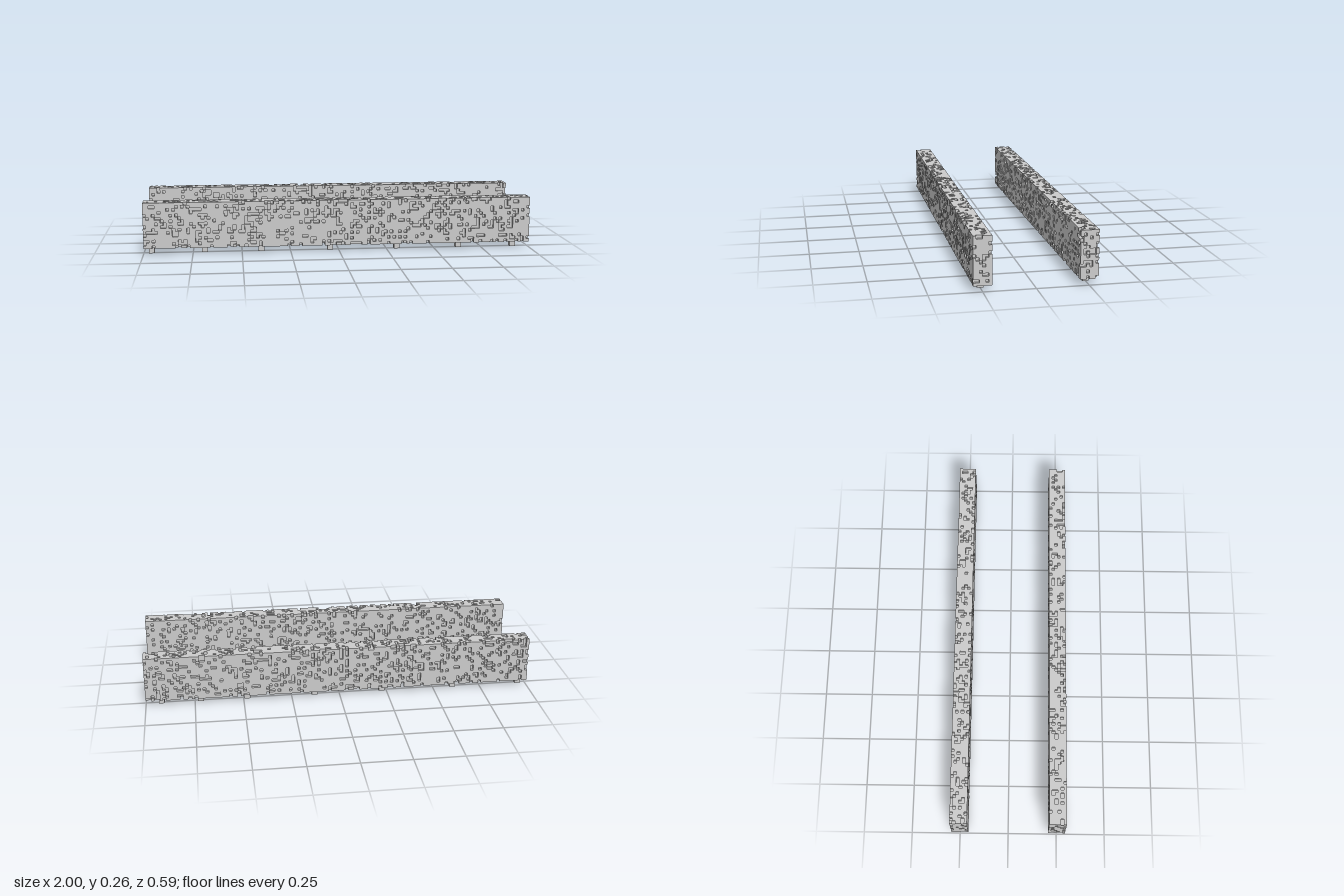
import * as THREE from 'three';

const CELL = 2 / 136;           // edge of one small cube
const NX = 136, NY = 16, NZ = 6; // cubes along each wall axis
const FOOT = 2 * CELL;
const PIT_CHANCE = 0.22;

function seeded(seed) {
  let s = seed;
  return () => {
    s = (Math.imul(s, 1664525) + 1013904223) >>> 0;
    return s / 4294967296;
  };
}

// Solid block of cubes whose outer layer is missing random cubes
function makeCells(seed) {
  const random = seeded(seed);
  const cells = new Uint8Array(NX * NY * NZ);
  const index = (x, y, z) => (z * NY + y) * NX + x;
  for (let z = 0; z < NZ; z++)
    for (let y = 0; y < NY; y++)
      for (let x = 0; x < NX; x++) {
        const shell = x === 0 || y === 0 || z === 0 ||
          x === NX - 1 || y === NY - 1 || z === NZ - 1;
        cells[index(x, y, z)] = shell && random() < PIT_CHANCE ? 0 : 1;
      }
  return (x, y, z) => x >= 0 && y >= 0 && z >= 0 &&
    x < NX && y < NY && z < NZ && cells[index(x, y, z)] === 1;
}

// Surface of the cubes: one quad wherever a cube meets empty space
function pittedGeometry(seed) {
  const filled = makeCells(seed);
  const positions = [];
  const addFace = (cell, axis, side) => {
    const u = (axis + 1) % 3, v = (axis + 2) % 3;
    const corner = (du, dv) => {
      const p = [...cell];
      p[axis] += side > 0 ? 1 : 0;
      p[u] += du;
      p[v] += dv;
      return [(p[0] - NX / 2) * CELL, p[1] * CELL, (p[2] - NZ / 2) * CELL];
    };
    const a = corner(0, 0), b = corner(1, 0), c = corner(1, 1), d = corner(0, 1);
    const order = side > 0 ? [a, b, c, a, c, d] : [a, c, b, a, d, c];
    for (const p of order) positions.push(...p);
  };
  for (let z = 0; z < NZ; z++)
    for (let y = 0; y < NY; y++)
      for (let x = 0; x < NX; x++) {
        if (!filled(x, y, z)) continue;
        for (let axis = 0; axis < 3; axis++)
          for (const side of [-1, 1]) {
            const next = [x, y, z];
            next[axis] += side;
            if (!filled(...next)) addFace([x, y, z], axis, side);
          }
      }
  const geometry = new THREE.BufferGeometry();
  geometry.setAttribute('position', new THREE.Float32BufferAttribute(positions, 3));
  geometry.computeVertexNormals();
  return geometry;
}

export function createModel() {
  const model = new THREE.Group();
  model.name = 'pairOfHedges';
  const material = new THREE.MeshStandardMaterial({ color: 0xcccccc, flatShading: true });
  const footGeometry = new THREE.BoxGeometry(FOOT, FOOT, FOOT);

  const hedges = [
    { name: 'frontHedge', z: 17 * CELL, seed: 11,
      feet: [-0.96, -0.69, -0.4, -0.045, 0.305, 0.63, 0.92] },
    { name: 'backHedge', z: -17 * CELL, seed: 47,
      feet: [-0.96, -0.605, -0.225, 0.13, 0.48, 0.72, 0.92] },
  ];

  for (const { name, z, seed, feet } of hedges) {
    const hedge = new THREE.Group();
    hedge.name = name;
    hedge.position.z = z;

    // Long pitted body
    const foliage = new THREE.Mesh(pittedGeometry(seed), material);
    foliage.name = 'foliage';
    foliage.position.y = FOOT;
    hedge.add(foliage);

    // Short square trunks underneath, reaching past any pit in the bottom layer
    for (const x of feet) {
      const trunk = new THREE.Mesh(footGeometry, material);
      trunk.name = 'trunk';
      trunk.scale.y = 1.5;
      trunk.position.set(x, FOOT * 0.75, 0);
      hedge.add(trunk);
    }
    model.add(hedge);
  }
  return model;
}
